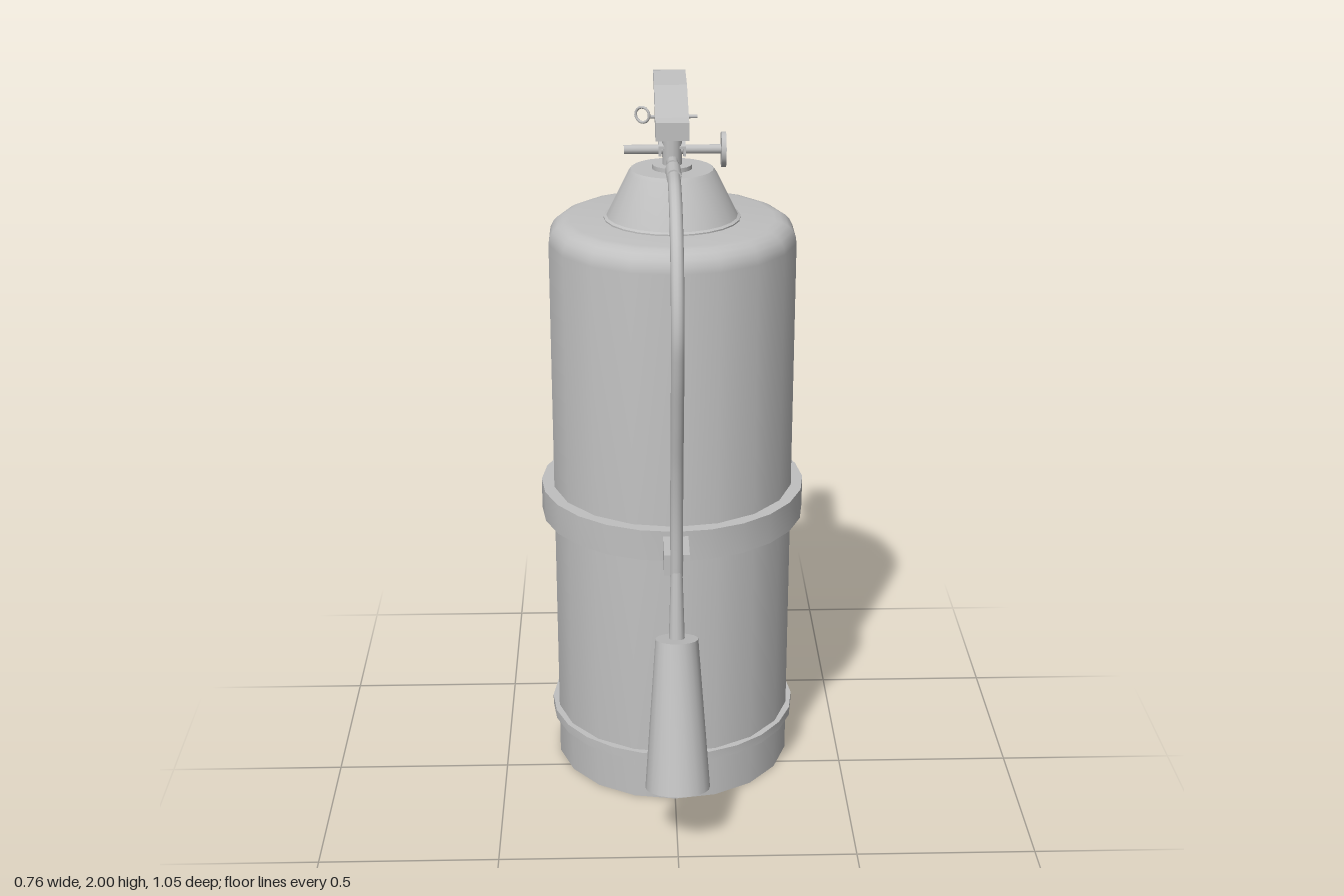
import * as THREE from 'three';
import { toCreasedNormals } from 'three/addons/utils/BufferGeometryUtils.js';

const AXIS_Z = -0.147;

export function createModel() {
  const group = new THREE.Group();
  const grey = new THREE.MeshStandardMaterial({ color: 0xc0c0c0 });
  grey.name = 'grey';

  const add = (name, geometry, x = 0, y = 0, z = 0, parent = group) => {
    const mesh = new THREE.Mesh(geometry, grey);
    mesh.name = name;
    mesh.position.set(x, y, z);
    parent.add(mesh);
    return mesh;
  };
  // Profile of [radius, height], listed with the outer side going upwards
  const lathe = (points, sides, crease = 0.6) => toCreasedNormals(
    new THREE.LatheGeometry(points.map(p => new THREE.Vector2(...p)), sides), crease);
  const ring = (inner, outer, y0, y1, sides) => lathe(
    [[inner, y0], [outer, y0], [outer, y1], [inner, y1], [inner, y0]], sides);
  // Cylinder or cone between two points
  const rod = (name, a, b, ra, rb = ra, sides = 12) => {
    const from = new THREE.Vector3(...a), to = new THREE.Vector3(...b);
    const dir = to.clone().sub(from);
    const mesh = add(name, new THREE.CylinderGeometry(rb, ra, dir.length(), sides));
    mesh.position.copy(from).add(to).multiplyScalar(0.5);
    mesh.quaternion.setFromUnitVectors(new THREE.Vector3(0, 1, 0), dir.normalize());
    return mesh;
  };
  // Side outline of [distance backwards, height], extruded across x
  const sidePlate = (points, x0, x1) => {
    const shape = new THREE.Shape(points.map(p => new THREE.Vector2(...p)));
    const geo = new THREE.ExtrudeGeometry(shape, { depth: x1 - x0, bevelEnabled: false });
    return geo.rotateY(Math.PI / 2).translate(x0, 0, 0);
  };
  // Folded sheet lever: a top skin with a flange down each side
  const lever = (name, top, bottom, half) => {
    const part = new THREE.Group();
    part.name = name;
    group.add(part);
    const t = 0.007;
    const skin = [...top, ...top.map(([u, y]) => [u, y - t]).reverse()];
    add(name + 'Skin', sidePlate(skin, -half, half), 0, 0, 0, part);
    const flange = [...top, ...[...bottom].reverse()];
    for (const x of [-half, half - t]) add(name + 'Flange', sidePlate(flange, x, x + t), 0, 0, 0, part);
    return part;
  };

  // Tank with hollow foot and rounded shoulder
  const shoulder = [];
  for (let i = 0; i <= 5; i++) {
    const a = i / 5 * Math.PI / 2;
    shoulder.push([0.287 + 0.06 * Math.cos(a), 1.6 + 0.06 * Math.sin(a)]);
  }
  add('tank', lathe([[0, 0.1], [0.31, 0.1], [0.31, 0], [0.347, 0], ...shoulder, [0, 1.66]], 18), 0, 0, AXIS_Z);
  add('footBand', ring(0.33, 0.362, 0.13, 0.157, 24), 0, 0, AXIS_Z);
  add('strap', ring(0.33, 0.38, 0.785, 0.875, 24), 0, 0, AXIS_Z);

  // Conical cap and neck
  add('cap', lathe([[0.19, 1.655], [0.19, 1.664], [0.182, 1.668], [0.122, 1.788], [0.114, 1.798],
    [0.055, 1.798], [0.055, 1.81], [0, 1.81]], 24, 0.4), 0, 0, AXIS_Z);
  add('valveStem', new THREE.CylinderGeometry(0.027, 0.027, 0.09, 12), 0, 1.845, AXIS_Z);

  // Cross rod with end disc
  rod('crossRod', [-0.132, 1.85, -0.15], [0.135, 1.85, -0.15], 0.013);
  rod('gaugeDisc', [0.134, 1.85, -0.147], [0.147, 1.85, -0.147], 0.048, 0.048, 20);

  // Carrying handle and squeeze lever
  lever('upperLever',
    [[0.118, 1.93], [0.15, 1.937], [0.32, 1.99], [0.475, 2.0]],
    [[0.118, 1.88], [0.18, 1.89], [0.335, 1.965], [0.475, 1.978]], 0.046);
  add('leverFront', new THREE.BoxGeometry(0.092, 0.05, 0.007), 0, 1.905, -0.1215);
  add('leverTip', new THREE.BoxGeometry(0.092, 0.02, 0.007), 0, 1.99, -0.4715);
  lever('lowerLever',
    [[0.13, 1.862], [0.21, 1.892], [0.3, 1.885], [0.507, 1.832]],
    [[0.13, 1.835], [0.21, 1.848], [0.3, 1.853], [0.507, 1.82]], 0.037);

  // Safety pin
  rod('safetyPin', [-0.06, 1.925, -0.215], [0.072, 1.925, -0.215], 0.005, 0.005, 8);
  const pinRing = add('pinRing', new THREE.TorusGeometry(0.021, 0.004, 8, 18), -0.08, 1.93, -0.217);
  pinRing.rotation.y = -0.5;

  // Hose outlet and hose
  rod('outlet', [0, 1.822, -0.16], [0, 1.822, -0.08], 0.016);
  rod('outletNipple', [0, 1.822, -0.12], [0, 1.822, -0.03], 0.011);
  rod('hoseCollar', [0, 1.822, -0.045], [0, 1.822, 0.042], 0.021);
  const path = [[0.03, 1.822], [0.13, 1.815], [0.24, 1.775], [0.335, 1.7], [0.39, 1.6], [0.412, 1.5],
    [0.402, 1.4], [0.37, 1.25], [0.337, 1.1], [0.318, 0.95], [0.315, 0.78]]
    .map(([z, y]) => new THREE.Vector3(0, y, z));
  add('hose', new THREE.TubeGeometry(new THREE.CatmullRomCurve3(path), 48, 0.0175, 12));
  rod('hoseEnd', [0, 0.8, 0.316], [0, 0.6, 0.342], 0.016, 0.022);

  // Hose clip on the strap
  add('clipBase', new THREE.BoxGeometry(0.07, 0.06, 0.07), 0, 0.83, 0.26);
  for (const x of [-0.026, 0.026]) add('clipProng', new THREE.BoxGeometry(0.018, 0.06, 0.065), x, 0.83, 0.318);

  // Discharge horn, open at the wide end
  const horn = add('horn', lathe([[0, 0.41], [0.05, 0.41], [0.08, 0], [0.09, 0], [0.059, 0.425], [0, 0.425]], 20),
    0, 0.19, 0.44);
  horn.rotation.x = -0.22;

  return group;
}
